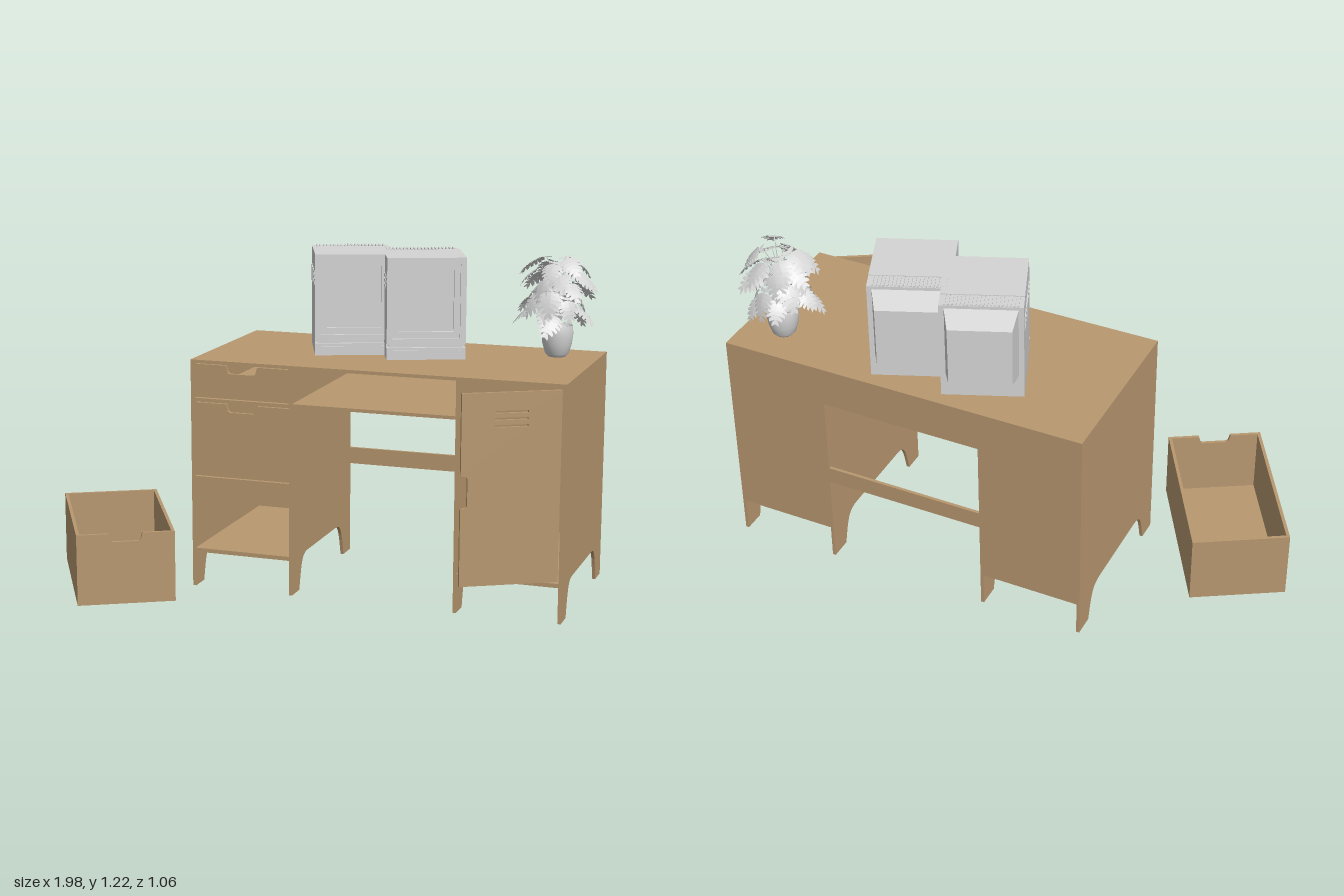
import * as THREE from 'three';

const wood = new THREE.MeshStandardMaterial({ name: 'wood', color: 0xb89870, side: THREE.DoubleSide });
const grey = new THREE.MeshStandardMaterial({ name: 'pale grey', color: 0xd4d4d4, side: THREE.DoubleSide });
const T = 0.012; // board thickness

function add(parent, name, geometry, material) {
  const mesh = new THREE.Mesh(geometry, material);
  mesh.name = name;
  parent.add(mesh);
  return mesh;
}

// Box given by its limits on each axis
function board(parent, name, [x0, x1], [y0, y1], [z0, z1], material = wood) {
  const mesh = add(parent, name, new THREE.BoxGeometry(x1 - x0, y1 - y0, z1 - z0), material);
  mesh.position.set((x0 + x1) / 2, (y0 + y1) / 2, (z0 + z1) / 2);
  return mesh;
}

function rectPath(x0, x1, y0, y1, PathType = THREE.Path) {
  const p = new PathType();
  p.moveTo(x0, y0).lineTo(x1, y0).lineTo(x1, y1).lineTo(x0, y1).closePath();
  return p;
}

const extrude = (shape, depth) =>
  new THREE.ExtrudeGeometry(shape, { depth, bevelEnabled: false, curveSegments: 8 });

// Open drawer, origin at the bottom centre of its front face
function makeDrawer(name, w, h, d) {
  const g = new THREE.Group();
  g.name = name;
  const s = new THREE.Shape();
  s.moveTo(-w / 2, 0).lineTo(w / 2, 0).lineTo(w / 2, h).lineTo(0.06, h);
  s.lineTo(0.055, h - 0.02).quadraticCurveTo(0.052, h - 0.03, 0.042, h - 0.03);
  s.lineTo(-0.042, h - 0.03).quadraticCurveTo(-0.052, h - 0.03, -0.055, h - 0.02);
  s.lineTo(-0.06, h).lineTo(-w / 2, h).closePath();
  add(g, 'drawerFront', extrude(s, T), wood).position.z = -T;
  for (const side of [-1, 1]) {
    const x = side * (w / 2 - T / 2);
    board(g, 'drawerSide', [x - T / 2, x + T / 2], [0, h], [-d, -T]);
  }
  board(g, 'drawerBack', [-w / 2 + T, w / 2 - T], [0, h], [-d, -d + T]);
  board(g, 'drawerFloor', [-w / 2 + T, w / 2 - T], [0, T], [-d + T, -T]);
  return g;
}

function makeDesk() {
  const g = new THREE.Group();
  g.name = 'desk';
  const zb = -0.515, zf = 0.145, top = 0.85;
  board(g, 'deskTop', [-0.41, 0.975], [top - T, top], [zb, zf]);

  // Upright panels with an arch cut between the feet
  const s = new THREE.Shape();
  s.moveTo(-zf, 0).lineTo(-0.068, 0);
  s.bezierCurveTo(-0.045, 0.1, -0.035, 0.13, 0.02, 0.13).lineTo(0.34, 0.13);
  s.bezierCurveTo(0.4, 0.13, 0.41, 0.1, 0.435, 0);
  s.lineTo(-zb, 0).lineTo(-zb, top - T).lineTo(-zf, top - T).closePath();
  const panel = extrude(s, T);
  for (const x of [-0.41, -0.032, 0.585, 0.963]) {
    const p = add(g, 'sidePanel', panel, wood);
    p.rotation.y = Math.PI / 2;
    p.position.x = x;
  }

  // Cabinet floors and backs
  for (const x of [[-0.398, -0.032], [0.597, 0.963]]) {
    board(g, 'cabinetFloor', x, [0.13, 0.145], [zb, zf]);
    board(g, 'cabinetBack', x, [0.145, top - T], [zb, zb + T]);
  }
  // Drawer dividers, centre shelf and rear rails
  for (const y of [0.405, 0.697]) board(g, 'divider', [-0.398, -0.032], [y, y + T], [zb + T, zf - 0.002]);
  board(g, 'centreShelf', [-0.02, 0.585], [0.7, 0.7 + T], [zb + T, zf]);
  board(g, 'upperBack', [-0.02, 0.585], [0.7, top - T], [zb, zb + T]);
  board(g, 'rearRail', [-0.02, 0.585], [0.35, 0.413], [zb, zb + T]);

  for (const [y, h] of [[0.712, 0.122], [0.42, 0.272]]) {
    const d = makeDrawer('closedDrawer', 0.356, h, 0.61);
    d.position.set(-0.215, y, zf - 0.006);
    g.add(d);
  }
  return g;
}

// Open door, hinged at its right edge, with a finger notch and vent slots
function makeDoor() {
  const w = 0.352, h = 0.677;
  const s = new THREE.Shape();
  s.moveTo(0, 0).lineTo(0, h).lineTo(-w, h).lineTo(-w, 0.395);
  s.quadraticCurveTo(-w + 0.002, 0.39, -w + 0.016, 0.388).quadraticCurveTo(-w + 0.024, 0.386, -w + 0.024, 0.375);
  s.lineTo(-w + 0.024, 0.29).quadraticCurveTo(-w + 0.024, 0.28, -w + 0.016, 0.278);
  s.quadraticCurveTo(-w + 0.002, 0.275, -w, 0.27).lineTo(-w, 0).closePath();
  for (const y of [0.56, 0.585, 0.609]) s.holes.push(rectPath(-0.235, -0.118, y - 0.004, y + 0.004));
  const door = new THREE.Mesh(extrude(s, T), wood);
  door.name = 'openDoor';
  door.position.set(0.955, 0.154, 0.139);
  door.rotation.y = Math.PI / 6;
  return door;
}

// Boxy tube display, origin at the bottom centre of its front
function makeMonitor(x) {
  const g = new THREE.Group();
  g.name = 'monitor';
  const W = 0.143;
  board(g, 'casing', [-W, W], [0, 0.366], [-0.3, -0.035], grey);
  board(g, 'base', [-W, W], [0, 0.044], [-0.035, -0.002], grey);
  board(g, 'baseStep', [-W + 0.01, W - 0.01], [0.044, 0.056], [-0.035, -0.014], grey);
  for (const [a, b] of [[-0.12, -0.03], [0.01, 0.05], [0.07, 0.125]])
    board(g, 'controlPlate', [a, b], [0.014, 0.034], [-0.002, 0.003], grey);

  // Stepped frame around the screen
  const outer = rectPath(-W, W, 0.056, 0.37, THREE.Shape);
  outer.holes.push(rectPath(-0.122, 0.122, 0.076, 0.348));
  add(g, 'bezel', extrude(outer, 0.036), grey).position.z = -0.036;
  const inner = rectPath(-0.122, 0.122, 0.076, 0.348, THREE.Shape);
  inner.holes.push(rectPath(-0.1, 0.1, 0.1, 0.325));
  add(g, 'innerFrame', extrude(inner, 0.022), grey).position.z = -0.034;
  board(g, 'screen', [-0.1, 0.1], [0.1, 0.325], [-0.034, -0.026], grey);

  // Tapered tube housing at the rear
  const hump = new THREE.BoxGeometry(0.25, 0.265, 0.08);
  const p = hump.attributes.position;
  for (let i = 0; i < p.count; i++) if (p.getZ(i) < 0) {
    p.setX(i, p.getX(i) * 0.87);
    p.setY(i, p.getY(i) * (p.getY(i) > 0 ? 0.75 : 0.9));
  }
  hump.computeVertexNormals();
  add(g, 'tubeHousing', hump, grey).position.set(0, 0.222, -0.34);

  // Vent ribs on the top and the sides
  for (let i = 0; i < 20; i++) {
    const c = -0.124 + i * 0.01305;
    board(g, 'topVentRib', [c - 0.0035, c + 0.0035], [0.366, 0.371], [-0.298, -0.24], grey);
  }
  board(g, 'topPlate', [-W, W], [0.366, 0.37], [-0.235, -0.035], grey);
  for (const side of [-1, 1]) {
    for (const y of [0.26, 0.28, 0.298]) {
      const c = side * W;
      board(g, 'sideVentRib', [c - 0.003, c + 0.003], [y - 0.005, y + 0.005], [-0.27, -0.04], grey);
    }
    board(g, 'sideGrip', [side * W - 0.005, side * W + 0.005], [0.25, 0.305], [-0.19, -0.14], grey);
  }
  g.position.set(x, 0.85, -0.133);
  g.rotation.y = 0.384;
  return g;
}

// Split leaf: tapering lobes fan out from a drooping midrib along +z
function leafGeometry() {
  const pos = [], idx = [], lobes = 7;
  const widths = [0.3, 0.43, 0.47, 0.44, 0.37, 0.27, 0.14];
  const put = (x, z) => pos.push(x, -0.45 * z * z - 0.7 * x * x + 0.12 * Math.abs(x), z) / 3 - 1;
  for (const side of [-1, 1]) for (let i = 0; i < lobes; i++) {
    const a = i / lobes, b = (i + 1) / lobes, w = widths[i] * side;
    const shift = i ? 0.1 : -0.12;
    const v = [put(0, a), put(0, b), put(w * 0.6, a + shift * 0.4), put(w * 0.6, b + shift * 0.4),
      put(w, a + shift + 0.03), put(w * 0.95, b + shift - 0.03)];
    const quads = [[0, 1, 2], [1, 3, 2], [2, 3, 4], [3, 5, 4]];
    for (const t of quads) idx.push(...(side > 0 ? t : [t[0], t[2], t[1]]).map(k => v[k]));
  }
  const g = new THREE.BufferGeometry();
  g.setAttribute('position', new THREE.Float32BufferAttribute(pos, 3));
  g.setIndex(idx);
  g.computeVertexNormals();
  return g;
}

function makePlant() {
  const g = new THREE.Group();
  g.name = 'pottedPlant';
  const profile = [[0, 0], [0.032, 0], [0.043, 0.012], [0.053, 0.045], [0.058, 0.08], [0.056, 0.115],
    [0.051, 0.115], [0.05, 0.1], [0, 0.1]].map(([r, y]) => new THREE.Vector2(r, y));
  add(g, 'pot', new THREE.LatheGeometry(profile, 28), grey);

  let seed = 11;
  const rand = () => (seed = (seed * 16807) % 2147483647) / 2147483647;
  const leaf = leafGeometry(), count = 30;
  for (let i = 0; i < count; i++) {
    const t = i / (count - 1), az = i * 2.4 + rand() * 0.4;
    const r = (0.045 + 0.05 * rand()) * (1 - 0.3 * t), y = 0.17 + 0.2 * t;
    const base = new THREE.Vector3(Math.sin(az) * r, y, Math.cos(az) * r);
    const curve = new THREE.QuadraticBezierCurve3(new THREE.Vector3(base.x * 0.1, 0.1, base.z * 0.1),
      new THREE.Vector3(base.x * 0.3, y * 0.95, base.z * 0.3), base);
    add(g, 'stem', new THREE.TubeGeometry(curve, 6, 0.0018, 5), grey);
    const m = add(g, 'leaf', leaf, grey);
    m.position.copy(base);
    m.rotation.set(0.15 + 0.75 * rand() * (1 - 0.5 * t), az, (rand() - 0.5) * 0.7, 'YXZ');
    m.scale.setScalar(0.08 + 0.025 * rand());
  }
  g.position.set(0.82, 0.85, -0.37);
  return g;
}

export function createModel() {
  const model = new THREE.Group();
  model.name = 'deskSet';
  model.add(makeDesk(), makeDoor(), makeMonitor(0.121), makeMonitor(0.394), makePlant());

  // Drawer taken out and left on the floor
  const loose = makeDrawer('looseDrawer', 0.352, 0.26, 0.62);
  loose.rotation.y = Math.PI / 6;
  loose.position.set(-0.541, 0.004, 0.445);
  model.add(loose);
  return model;
}
